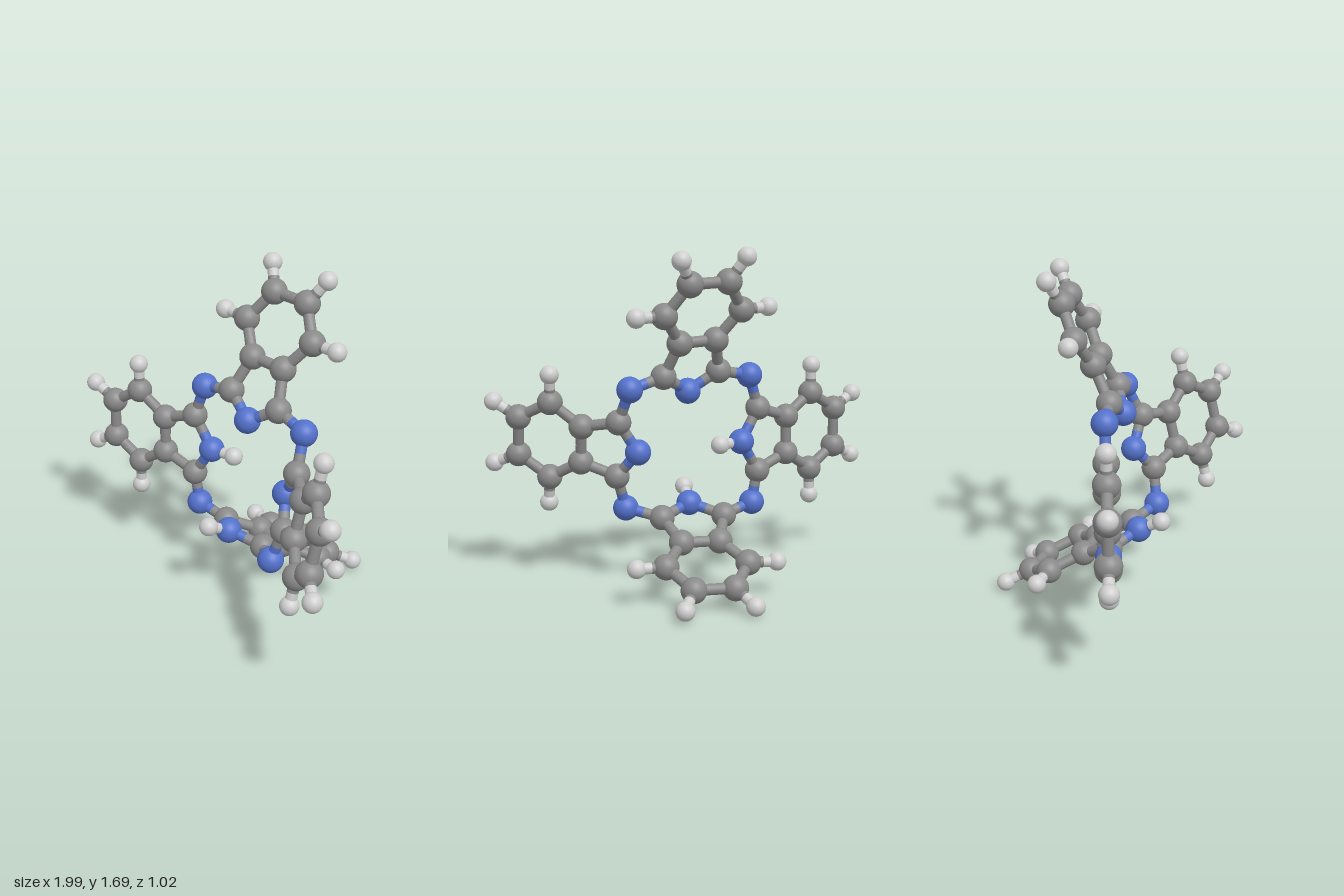
import * as THREE from 'three';

export function createModel() {
  const model = new THREE.Group();
  model.name = 'ringMolecule';

  const material = (name, color) => {
    const m = new THREE.MeshStandardMaterial({ color });
    m.name = name;
    return m;
  };
  // Element styles: colour and ball radius
  const elements = {
    carbon: { mat: material('carbonGrey', 0x8a8a8a), radius: 0.063 },
    nitrogen: { mat: material('nitrogenBlue', 0x5472cc), radius: 0.064 },
    hydrogen: { mat: material('hydrogenPale', 0xcecece), radius: 0.046 },
  };
  for (const e of Object.values(elements)) e.ball = new THREE.SphereGeometry(e.radius, 32, 20);
  const stick = new THREE.CylinderGeometry(0.027, 0.027, 1, 16, 1, true);
  const up = new THREE.Vector3(0, 1, 0);

  function atom(parent, type, pos) {
    const ball = new THREE.Mesh(elements[type].ball, elements[type].mat);
    ball.name = type + 'Atom';
    ball.position.copy(pos);
    parent.add(ball);
    return { type, pos };
  }

  // Each bond is two half sticks, coloured like the nearer atom
  function bond(parent, a, b) {
    const mid = a.pos.clone().lerp(b.pos, 0.5);
    for (const end of [a, b]) {
      const dir = mid.clone().sub(end.pos);
      const half = new THREE.Mesh(stick, elements[end.type].mat);
      half.name = end.type + 'Bond';
      half.position.copy(end.pos).lerp(mid, 0.5);
      half.scale.y = dir.length();
      half.quaternion.setFromUnitVectors(up, dir.normalize());
      parent.add(half);
    }
  }

  // Flat fused five- and six-sided rings: o = midpoint of the inner carbons,
  // out = direction away from the centre, side = direction across the ring
  function fusedRing({ name, o, out, side, inner, hasInnerHydrogen }) {
    const group = new THREE.Group();
    group.name = name;
    model.add(group);
    const origin = new THREE.Vector3(...o);
    const u = new THREE.Vector3(...out).normalize();
    const v = new THREE.Vector3(...side);
    v.addScaledVector(u, -v.dot(u)).normalize();
    const at = (a, b) => origin.clone().addScaledVector(u, a).addScaledVector(v, b);

    const nitrogen = atom(group, 'nitrogen', at(-0.103, 0));
    if (hasInnerHydrogen) bond(group, nitrogen, atom(group, 'hydrogen', at(-0.235, 0)));

    const halves = [-1, 1].map((s) => {
      const c1 = atom(group, 'carbon', at(0, s * inner));
      const c2 = atom(group, 'carbon', at(0.186, s * 0.096));
      const c3 = atom(group, 'carbon', at(0.347, s * 0.203));
      const c4 = atom(group, 'carbon', at(0.51, s * 0.101));
      const h3 = atom(group, 'hydrogen', at(0.35, s * 0.347));
      const h4 = atom(group, 'hydrogen', at(0.638, s * 0.168));
      for (const [a, b] of [[nitrogen, c1], [c1, c2], [c2, c3], [c3, c4], [c3, h3], [c4, h4]]) bond(group, a, b);
      return { c1, c2, c4 };
    });
    bond(group, halves[0].c2, halves[1].c2);
    bond(group, halves[0].c4, halves[1].c4);
    return halves.map((h) => h.c1);
  }

  const top = fusedRing({
    name: 'topRing', o: [0.033, 1.073, 0.05], out: [-0.023, 0.459, -0.235],
    side: [0.674, -0.026, -0.12], inner: 0.149, hasInnerHydrogen: false,
  });
  const left = fusedRing({
    name: 'leftRing', o: [0.388, 0.703, 0.12], out: [0.449, 0.051, 0.235],
    side: [0, 0.663, -0.175], inner: 0.146, hasInnerHydrogen: false,
  });
  const right = fusedRing({
    name: 'rightRing', o: [-0.342, 0.711, 0.14], out: [-0.483, 0.008, 0.165],
    side: [0.027, 0.689, -0.025], inner: 0.162, hasInnerHydrogen: true,
  });
  const bottom = fusedRing({
    name: 'bottomRing', o: [0.01, 0.343, 0.1], out: [0.025, -0.23, -0.445],
    side: [0.711, 0.01, 0.03], inner: 0.159, hasInnerHydrogen: true,
  });

  // Nitrogen bridges joining neighbouring rings
  const bridges = new THREE.Group();
  bridges.name = 'nitrogenBridges';
  model.add(bridges);
  for (const [pos, a, b] of [
    [[-0.286, 1.045, 0.11], top[0], right[1]],
    [[0.35, 1.013, 0.01], top[1], left[1]],
    [[-0.313, 0.385, 0.14], bottom[0], right[0]],
    [[0.334, 0.388, 0.19], bottom[1], left[0]],
  ]) {
    const n = atom(bridges, 'nitrogen', new THREE.Vector3(...pos));
    bond(bridges, n, a);
    bond(bridges, n, b);
  }
  return model;
}
